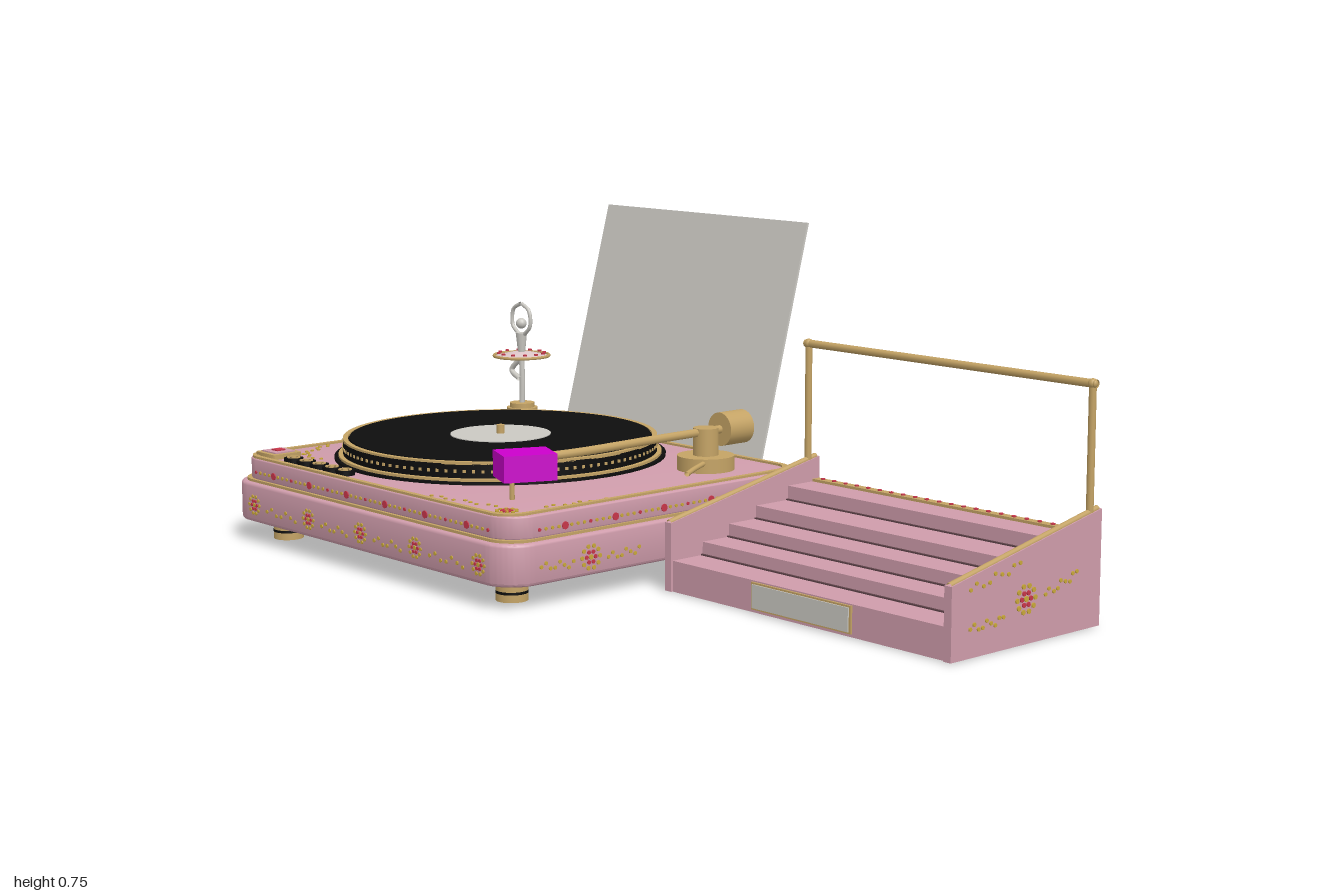
import * as THREE from 'three';
import { mergeGeometries, toCreasedNormals } from 'three/addons/utils/BufferGeometryUtils.js';

const mat = (name, color) => {
  const m = new THREE.MeshStandardMaterial({ color, side: THREE.DoubleSide });
  m.name = name;
  return m;
};

export function createModel() {
  const pink = mat('rose pink', 0xcf9cab), gold = mat('gold', 0xc4a365), black = mat('black', 0x0d0d0d);
  const silver = mat('silver', 0xcac8c2), magenta = mat('magenta', 0xcc00cc), red = mat('ruby', 0xc8364a);
  const leaf = mat('bright gold', 0xc9a83a), blush = mat('blush', 0xdcc6c8), brown = mat('groove brown', 0x5f444a);
  const root = new THREE.Group();
  const V = (x, y, z) => new THREE.Vector3(x, y, z);

  const add = (parent, name, geo, m, x = 0, y = 0, z = 0) => {
    const mesh = new THREE.Mesh(geo, m);
    mesh.name = name;
    mesh.position.set(x, y, z);
    parent.add(mesh);
    return mesh;
  };
  const group = (name, parent = root) => {
    const g = new THREE.Group();
    g.name = name;
    parent.add(g);
    return g;
  };
  const box = (p, name, m, w, h, d, x, y, z) => add(p, name, new THREE.BoxGeometry(w, h, d), m, x, y, z);
  // Upright cylinder standing between heights y0 and y1
  const cyl = (p, name, m, r, y0, y1, x, z, seg = 32) =>
    add(p, name, new THREE.CylinderGeometry(r, r, y1 - y0, seg), m, x, (y0 + y1) / 2, z);
  const rod = (p, name, m, r, pts) =>
    add(p, name, new THREE.TubeGeometry(new THREE.CatmullRomCurve3(pts), pts.length * 8, r, 10), m);
  const ring = (p, name, m, ro, ri, y0, y1, x, z) => {
    const pts = [[ri, y0], [ro, y0], [ro, y1], [ri, y1], [ri, y0]].map(a => new THREE.Vector2(...a));
    return add(p, name, toCreasedNormals(new THREE.LatheGeometry(pts, 64), 0.6), m, x, 0, z);
  };
  const roundRect = (w, d, r, S = THREE.Shape) => {
    const s = new S(), a = w / 2 - r, b = d / 2 - r;
    s.absarc(a, b, r, 0, Math.PI / 2);
    s.absarc(-a, b, r, Math.PI / 2, Math.PI);
    s.absarc(-a, -b, r, Math.PI, Math.PI * 1.5);
    s.absarc(a, -b, r, Math.PI * 1.5, Math.PI * 2);
    s.closePath();
    return s;
  };
  // Flat slab with rounded corners; an optional frame width leaves it hollow
  const slab = (p, name, m, w, d, r, y0, y1, x, z, bevel = 0, frame = 0) => {
    const s = roundRect(w - 2 * bevel, d - 2 * bevel, r);
    if (frame) s.holes.push(roundRect(w - 2 * frame, d - 2 * frame, r - frame / 2, THREE.Path));
    const g = new THREE.ExtrudeGeometry(s, {
      depth: y1 - y0 - 2 * bevel, bevelEnabled: bevel > 0, bevelSize: bevel, bevelThickness: bevel, bevelSegments: 3, curveSegments: 10
    });
    g.translate(0, 0, bevel).rotateX(-Math.PI / 2);
    return add(p, name, toCreasedNormals(g, 0.6), m, x, y0, z);
  };
  // Many small flat discs in one mesh: spots are [x, y, radius] in the local xy plane
  const spots = (p, name, m, list) => add(p, name, mergeGeometries(list.map(([x, y, r]) =>
    new THREE.CylinderGeometry(r, r, 0.004, 8).rotateX(Math.PI / 2).translate(x, y, 0))), m);
  const flower = (p, x, y, r) => {
    const g = group('flower', p);
    g.position.set(x, y, 0);
    const around = (n, rad, s) => Array.from({ length: n }, (_, i) =>
      [Math.cos(i / n * 6.283) * rad, Math.sin(i / n * 6.283) * rad, s]);
    spots(g, 'outerPetals', leaf, around(10, r * 0.85, r * 0.17));
    spots(g, 'innerPetals', red, around(6, r * 0.42, r * 0.16));
    spots(g, 'flowerCentre', leaf, [[0, 0, r * 0.2]]);
  };
  // Wavy line of leaves from one point to another
  const vine = (p, x0, y0, x1, y1, n = 9) => spots(p, 'vine', leaf, Array.from({ length: n }, (_, i) => {
    const t = i / (n - 1), s = Math.sin(i * 1.9) * 0.008, l = Math.hypot(x1 - x0, y1 - y0);
    return [x0 + (x1 - x0) * t - (y1 - y0) / l * s, y0 + (y1 - y0) * t + (x1 - x0) / l * s, 0.0045];
  }));
  const decal = (name, parent, x, y, z, rx, ry) => {
    const g = group(name, parent);
    g.position.set(x, y, z);
    g.rotation.set(rx, ry, 0);
    return g;
  };

  // Turntable case
  const player = group('recordPlayer'), cx = -0.455, cz = 0.1225;
  slab(player, 'lowerCase', pink, 1.09, 0.925, 0.07, 0.05, 0.145, cx, cz, 0.008);
  slab(player, 'lowerTrim', gold, 1.066, 0.9, 0.07, 0.145, 0.151, cx, cz);
  slab(player, 'upperCase', pink, 1.055, 0.885, 0.07, 0.149, 0.201, cx, cz, 0.004);
  slab(player, 'deckTrim', gold, 1.03, 0.88, 0.06, 0.198, 0.206, cx, cz, 0, 0.013);
  for (const x of [-0.89, -0.015]) for (const z of [0.49, -0.245]) {
    cyl(player, 'foot', gold, 0.036, 0, 0.05, x, z);
    cyl(player, 'footBand', black, 0.0365, 0.017, 0.023, x, z);
  }

  // Platter and record
  const px = -0.561, pz = 0.09;
  cyl(player, 'platterBase', black, 0.402, 0.2, 0.207, px, pz, 64);
  ring(player, 'platterBaseTrim', gold, 0.392, 0.37, 0.2, 0.213, px, pz);
  cyl(player, 'platter', black, 0.381, 0.207, 0.246, px, pz, 64);
  ring(player, 'platterTrim', gold, 0.381, 0.369, 0.244, 0.251, px, pz);
  cyl(player, 'record', black, 0.365, 0.246, 0.252, px, pz, 64);
  cyl(player, 'recordLabel', silver, 0.122, 0.25, 0.254, px, pz, 48);
  cyl(player, 'spindle', gold, 0.01, 0.25, 0.275, px, pz, 16);
  add(player, 'platterStuds', mergeGeometries(Array.from({ length: 110 }, (_, i) =>
    new THREE.BoxGeometry(0.007, 0.007, 0.004).translate(0, 0.229, 0.381).rotateY(i / 110 * 6.2832))), gold, px, 0, pz);

  // Tonearm
  const arm = group('tonearm'), ax = -0.085, az = -0.15;
  cyl(arm, 'armBase', gold, 0.068, 0.2, 0.235, ax, az);
  cyl(arm, 'armPivot', gold, 0.03, 0.235, 0.3, ax, az);
  add(arm, 'counterweight', new THREE.CylinderGeometry(0.04, 0.04, 0.075, 32).rotateX(Math.PI / 2), gold, -0.088, 0.29, -0.235);
  rod(arm, 'armTube', gold, 0.01, [V(-0.088, 0.29, -0.28), V(-0.085, 0.29, 0), V(-0.075, 0.29, 0.25), V(-0.083, 0.29, 0.34)]);
  box(arm, 'headshell', magenta, 0.098, 0.06, 0.122, -0.097, 0.275, 0.385).rotation.y = -0.41;
  cyl(arm, 'stylus', gold, 0.006, 0.2, 0.25, -0.1, 0.42, 12);
  rod(arm, 'cueLever', gold, 0.006, [V(-0.04, 0.225, -0.1), V(-0.02, 0.22, -0.05), V(-0.008, 0.215, -0.02)]);

  // Deck controls
  slab(player, 'squareButton', gold, 0.082, 0.08, 0.006, 0.2, 0.213, -0.903, 0.505);
  box(player, 'buttonInset', pink, 0.058, 0.004, 0.056, -0.903, 0.214, 0.505);
  box(player, 'buttonGem', red, 0.024, 0.006, 0.024, -0.903, 0.216, 0.505);
  for (let i = 0; i < 5; i++) {
    const x = -0.807 + i * 0.0535;
    cyl(player, 'knob', black, 0.023, 0.2, 0.213, x, 0.525, 20);
    ring(player, 'knobRing', gold, 0.016, 0.011, 0.212, 0.215, x, 0.525);
    cyl(player, 'knobGem', gold, 0.006, 0.212, 0.216, x, 0.525, 10);
  }

  // Painted ornament on the deck, front and sides
  const deck = decal('deckOrnament', player, 0, 0.202, 0, -Math.PI / 2, 0);
  flower(deck, -0.005, -0.51, 0.026);
  vine(deck, -0.25, -0.53, -0.06, -0.5);
  vine(deck, 0.02, -0.42, 0.045, -0.24);
  vine(deck, -0.95, -0.33, -0.88, -0.45);
  vine(deck, -0.88, -0.45, -0.8, -0.46, 5);
  const front = decal('frontOrnament', player, 0, 0, cz + 0.463, 0, 0);
  const xs = [-0.89, -0.66, -0.45, -0.24, -0.01];
  xs.forEach((x, i) => {
    flower(front, x, 0.093, 0.025);
    if (i < 4) vine(front, x + 0.055, 0.085, xs[i + 1] - 0.055, 0.085, 7);
  });
  const studs = (p, a, b, n) => [leaf, red].forEach((m, k) => spots(p, 'bandStuds', m,
    Array.from({ length: n }, (_, i) => [a + (b - a) * i / (n - 1), 0.168, i % 8 === 4 ? 0.009 : 0.004])
      .filter((_, i) => (i % 4 === 0) === (k === 1))));
  studs(decal('frontBand', player, 0, 0, cz + 0.443, 0, 0), -0.91, 0, 49);
  for (const s of [1, -1]) {
    const side = decal('sideOrnament', player, cx + s * 0.5455, 0, cz, 0, s * Math.PI / 2);
    for (const u of [-0.23, 0.23]) {
      flower(side, u, 0.092, 0.03);
      vine(side, u - 0.14, 0.09, u - 0.05, 0.085, 8);
      vine(side, u + 0.05, 0.085, u + 0.14, 0.09, 8);
    }
    studs(decal('sideBand', player, cx + s * 0.528, 0, cz, 0, s * Math.PI / 2), -0.36, 0.36, 41);
  }

  // Dancer figurine
  const dancer = group('dancer');
  dancer.position.set(-0.91, 0, -0.255);
  cyl(dancer, 'stand', gold, 0.04, 0.2, 0.24, 0, 0);
  cyl(dancer, 'standTop', gold, 0.032, 0.24, 0.252, 0, 0);
  rod(dancer, 'standingLeg', silver, 0.007, [V(0, 0.25, 0), V(0.002, 0.31, 0), V(0, 0.375, 0)]);
  rod(dancer, 'raisedLeg', silver, 0.007, [V(0, 0.37, 0), V(-0.035, 0.335, 0.005), V(0, 0.315, 0.008)]);
  add(dancer, 'tutu', new THREE.CylinderGeometry(0.02, 0.074, 0.012, 24), blush, 0, 0.38, 0);
  add(dancer, 'tutuEdge', new THREE.TorusGeometry(0.072, 0.004, 6, 32).rotateX(Math.PI / 2), gold, 0, 0.376, 0);
  const gems = decal('tutuGems', dancer, 0, 0.383, 0, -Math.PI / 2, 0);
  spots(gems, 'tutuStuds', red, Array.from({ length: 12 }, (_, i) => [Math.cos(i * 0.5236) * 0.06, Math.sin(i * 0.5236) * 0.06, 0.005]));
  add(dancer, 'torso', new THREE.CylinderGeometry(0.015, 0.009, 0.055, 12), silver, 0, 0.408, 0);
  add(dancer, 'head', new THREE.SphereGeometry(0.014, 14, 10), silver, 0, 0.46, 0);
  for (const s of [1, -1]) rod(dancer, 'arm', silver, 0.005,
    [V(s * 0.012, 0.432, 0), V(s * 0.036, 0.455, 0), V(s * 0.032, 0.495, 0), V(s * 0.003, 0.512, 0)]);

  // Stepped rack: stair body between two wedge-shaped cheeks
  const rack = group('steppedRack'), mid = 0.57;
  const edges = [0.18, 0.09, 0.01, -0.075, -0.176, -0.278], tops = [0.07, 0.1, 0.13, 0.16, 0.193];
  tops.forEach((h, i) => {
    const d = edges[i] - edges[i + 1];
    box(rack, 'step', pink, 0.81, h, d, mid, h / 2, edges[i] - d / 2);
    if (i < 4) box(rack, 'stepGroove', brown, 0.81, 0.004, 0.006, mid, h + 0.001, edges[i + 1] + 0.003);
    if (i < 4) box(rack, 'undersideGroove', brown, 0.81, 0.004, 0.006, mid, 0, edges[i + 1]);
  });
  box(rack, 'backStrip', gold, 0.81, 0.008, 0.022, mid, 0.195, -0.266);
  const strip = decal('stripStuds', rack, 0, 0.2, 0, -Math.PI / 2, 0);
  spots(strip, 'studs', red, Array.from({ length: 22 }, (_, i) => [0.19 + i * 0.036, 0.266, 0.005]));
  const cheek = new THREE.Shape([[-0.185, 0], [0.278, 0], [0.278, 0.25], [-0.185, 0.155]].map(a => new THREE.Vector2(...a)));
  for (const s of [1, -1]) {
    const x = mid + s * 0.414;
    add(rack, 'cheek', new THREE.ExtrudeGeometry(cheek, { depth: 0.02, bevelEnabled: false })
      .rotateY(Math.PI / 2).translate(-0.01, 0, 0), pink, x);
    rod(rack, 'cheekTrim', gold, 0.007, [V(x, 0.155, 0.182), V(x, 0.202, -0.045), V(x, 0.25, -0.274)]);
    cyl(rack, 'railPost', gold, 0.008, 0.17, 0.515, x, -0.25, 14);
    add(rack, 'railKnob', new THREE.SphereGeometry(0.011, 14, 10), gold, x, 0.515, -0.25);
    const side = decal('cheekOrnament', rack, x + s * 0.011, 0, 0, 0, s * Math.PI / 2);
    flower(side, s * 0.04, 0.095, 0.033);
    vine(side, s * -0.13, 0.06, s * -0.03, 0.065, 9);
    vine(side, s * 0.1, 0.095, s * 0.2, 0.125, 9);
    vine(side, s * -0.13, 0.14, s * 0.02, 0.17, 9);
  }
  rod(rack, 'rail', gold, 0.009, [V(0.146, 0.515, -0.25), V(mid, 0.515, -0.25), V(0.994, 0.515, -0.25)]);
  box(rack, 'plateFrame', gold, 0.296, 0.06, 0.006, mid, 0.037, 0.182);
  box(rack, 'namePlate', silver, 0.286, 0.052, 0.006, mid, 0.037, 0.185);

  // Leaning panel on its stand
  const panel = group('leaningPanel');
  const sheet = box(panel, 'sheet', silver, 0.755, 0.746, 0.006, -0.563, 0.39, -0.488);
  sheet.rotation.x = -0.264;
  box(panel, 'standBar', gold, 0.49, 0.018, 0.056, -0.565, 0.009, -0.407);
  box(panel, 'standLip', gold, 0.49, 0.012, 0.02, -0.565, 0.022, -0.39);
  for (const s of [1, -1]) rod(panel, 'standProng', gold, 0.008, [V(-0.565 + s * 0.185, 0.015, -0.402), V(-0.565 + s * 0.185, 0.6, -0.557)]);

  return root;
}
